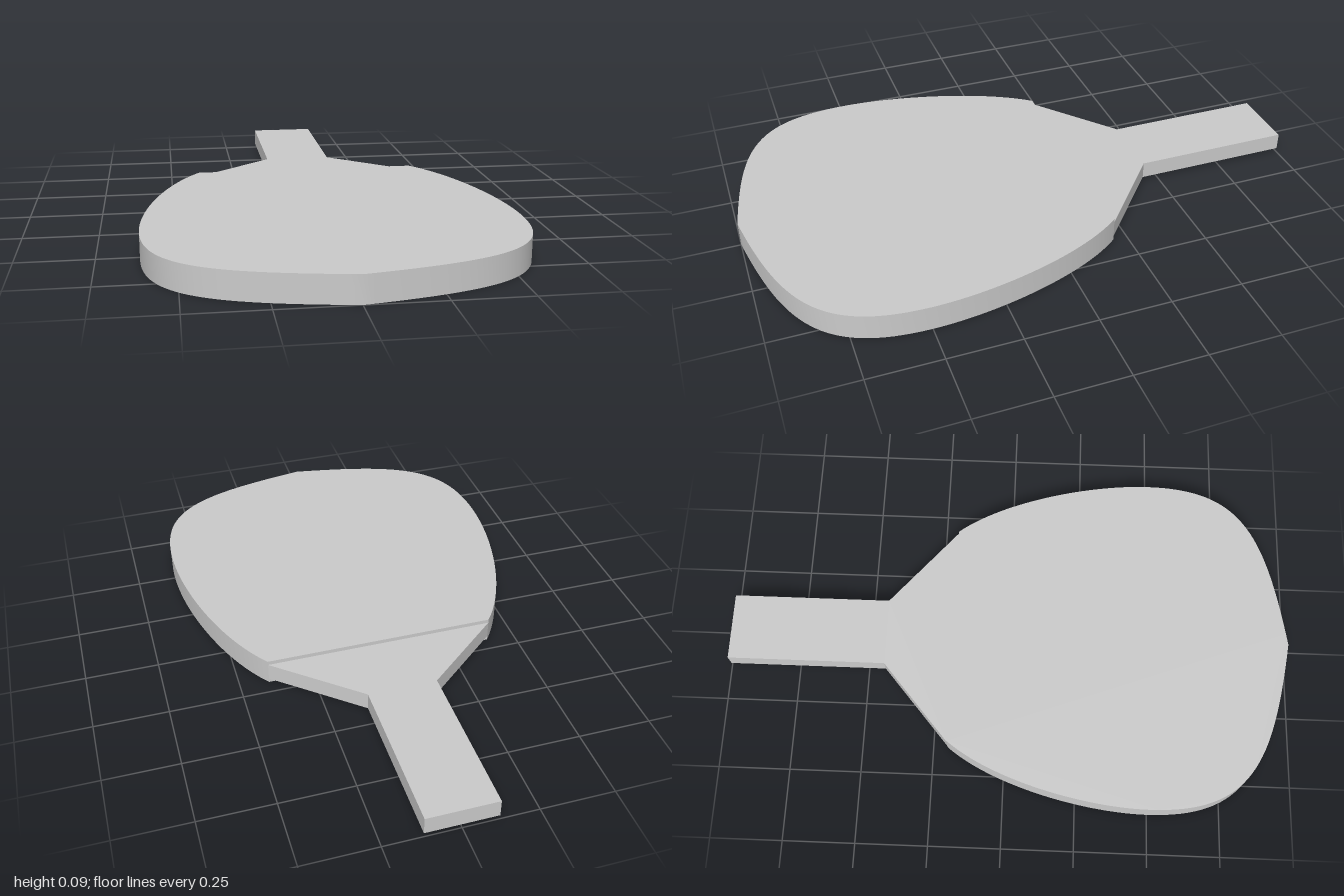
import * as THREE from 'three';
import { toCreasedNormals } from 'three/addons/utils/BufferGeometryUtils.js';

const material = new THREE.MeshStandardMaterial({ color: 0xcccccc });

// Extrudes an outline drawn in (x, z) into a flat slab between two heights
function slab(name, shape, bottom, top) {
  const geometry = new THREE.ExtrudeGeometry(shape, {
    depth: top - bottom,
    bevelEnabled: false,
    curveSegments: 32,
  });
  geometry.rotateX(Math.PI / 2).translate(0, top, 0);
  const mesh = new THREE.Mesh(toCreasedNormals(geometry, Math.PI / 7), material);
  mesh.name = name;
  return mesh;
}

export function createModel() {
  const group = new THREE.Group();
  group.name = 'paddle';

  // Thick rounded blade, cut straight where it meets the handle
  const blade = new THREE.Shape();
  blade.moveTo(-0.4, -0.2);
  blade.lineTo(0.4, -0.2);
  blade.bezierCurveTo(0.53, -0.04, 0.613, 0.28, 0.613, 0.5);
  blade.bezierCurveTo(0.613, 0.85, 0.44, 0.93, 0, 1);
  blade.bezierCurveTo(-0.44, 0.93, -0.613, 0.85, -0.613, 0.5);
  blade.bezierCurveTo(-0.613, 0.28, -0.53, -0.04, -0.4, -0.2);
  group.add(slab('blade', blade, 0, 0.09));

  // Thinner handle flaring out to the width of the blade's straight edge
  const handle = new THREE.Shape(
    [[-0.12, -1], [0.12, -1], [0.12, -0.44], [0.4, -0.2], [-0.4, -0.2], [-0.12, -0.44]]
      .map(([x, z]) => new THREE.Vector2(x, z))
  );
  group.add(slab('handle', handle, 0.015, 0.076));

  return group;
}
